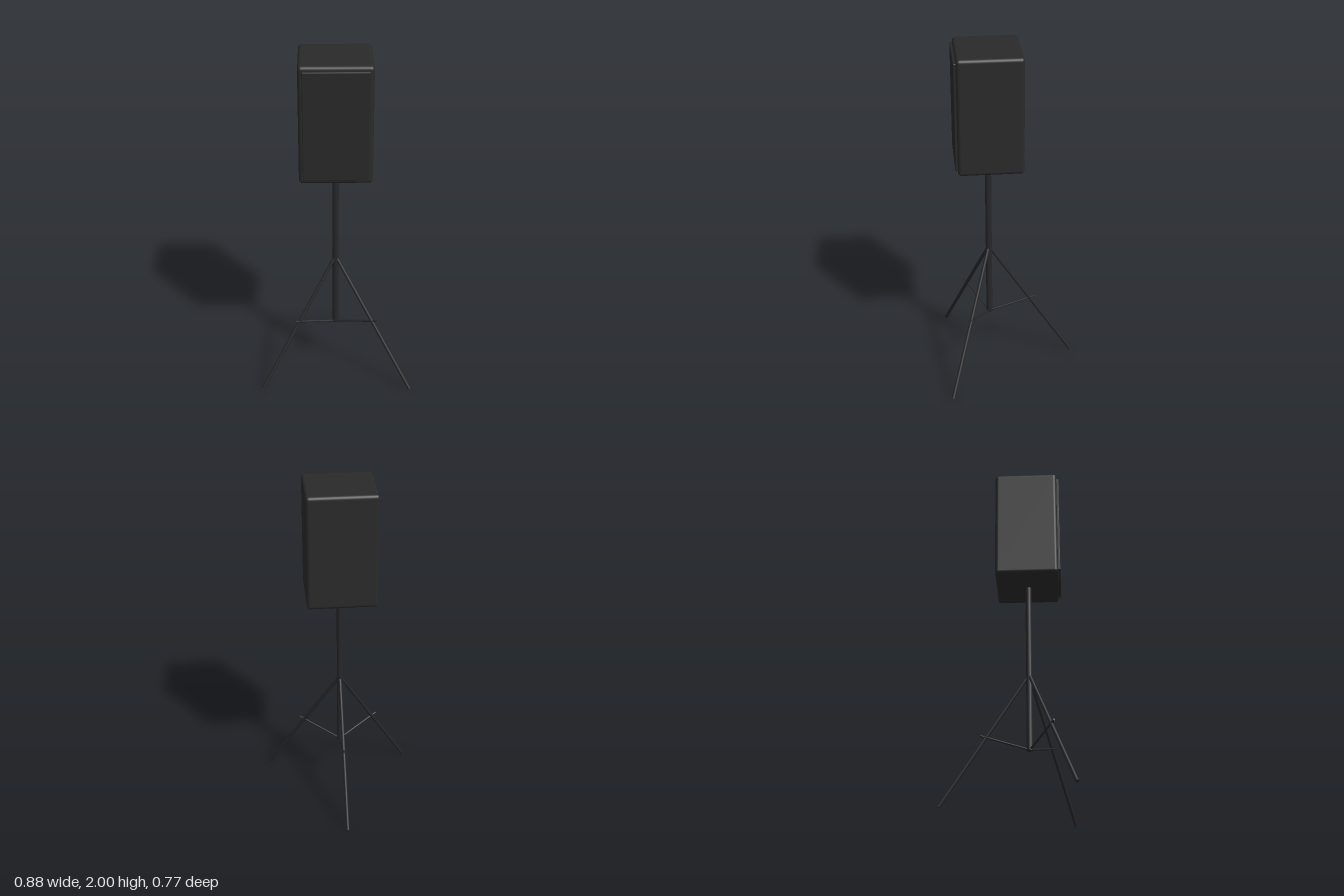
import * as THREE from 'three';
import { RoundedBoxGeometry } from 'three/addons/geometries/RoundedBoxGeometry.js';

const POLE_Z = 0.127;

export function createModel() {
  const model = new THREE.Group();
  model.name = 'speakerOnStand';

  const material = (name, color) => {
    const m = new THREE.MeshStandardMaterial({ color });
    m.name = name;
    return m;
  };
  const cabinetBlack = material('cabinetBlack', 0x2a2a2a);
  const grilleBlack = material('grilleBlack', 0x292929);
  const standBlack = material('standBlack', 0x27272a);

  const add = (parent, name, geometry, mat) => {
    const mesh = new THREE.Mesh(geometry, mat);
    mesh.name = name;
    parent.add(mesh);
    return mesh;
  };

  // Round bar between two points
  const bar = (parent, name, from, to, radius) => {
    const dir = to.clone().sub(from);
    const mesh = add(parent, name, new THREE.CylinderGeometry(radius, radius, dir.length(), 16), standBlack);
    mesh.position.copy(from).add(to).multiplyScalar(0.5);
    mesh.quaternion.setFromUnitVectors(new THREE.Vector3(0, 1, 0), dir.normalize());
    return mesh;
  };

  // Speaker cabinet with softened edges
  const cabinet = add(model, 'cabinet', new RoundedBoxGeometry(0.4, 0.67, 0.365, 4, 0.02), cabinetBlack);
  cabinet.position.set(0, 1.665, 0.1225);

  // Front grille panel, standing slightly proud of the cabinet
  const grille = add(model, 'grille', new RoundedBoxGeometry(0.356, 0.62, 0.03, 2, 0.005), grilleBlack);
  grille.position.set(0, 1.665, 0.304);

  // Stand, centred on its pole
  const stand = new THREE.Group();
  stand.name = 'stand';
  stand.position.z = POLE_Z;
  model.add(stand);

  bar(stand, 'pole', new THREE.Vector3(0, 0.32, 0), new THREE.Vector3(0, 1.36, 0), 0.018);

  // Three legs with braces, one to the back and two to the front
  for (let i = 0; i < 3; i++) {
    const tripodSide = new THREE.Group();
    tripodSide.name = ['backLeg', 'leftLeg', 'rightLeg'][i];
    tripodSide.rotation.y = (i * 2 * Math.PI) / 3 * -1;
    stand.add(tripodSide);
    bar(tripodSide, 'leg', new THREE.Vector3(0, 0.775, 0), new THREE.Vector3(0, 0.006, -0.5), 0.01);
    bar(tripodSide, 'brace', new THREE.Vector3(0, 0.325, 0), new THREE.Vector3(0, 0.411, -0.275), 0.006);
  }

  return model;
}
